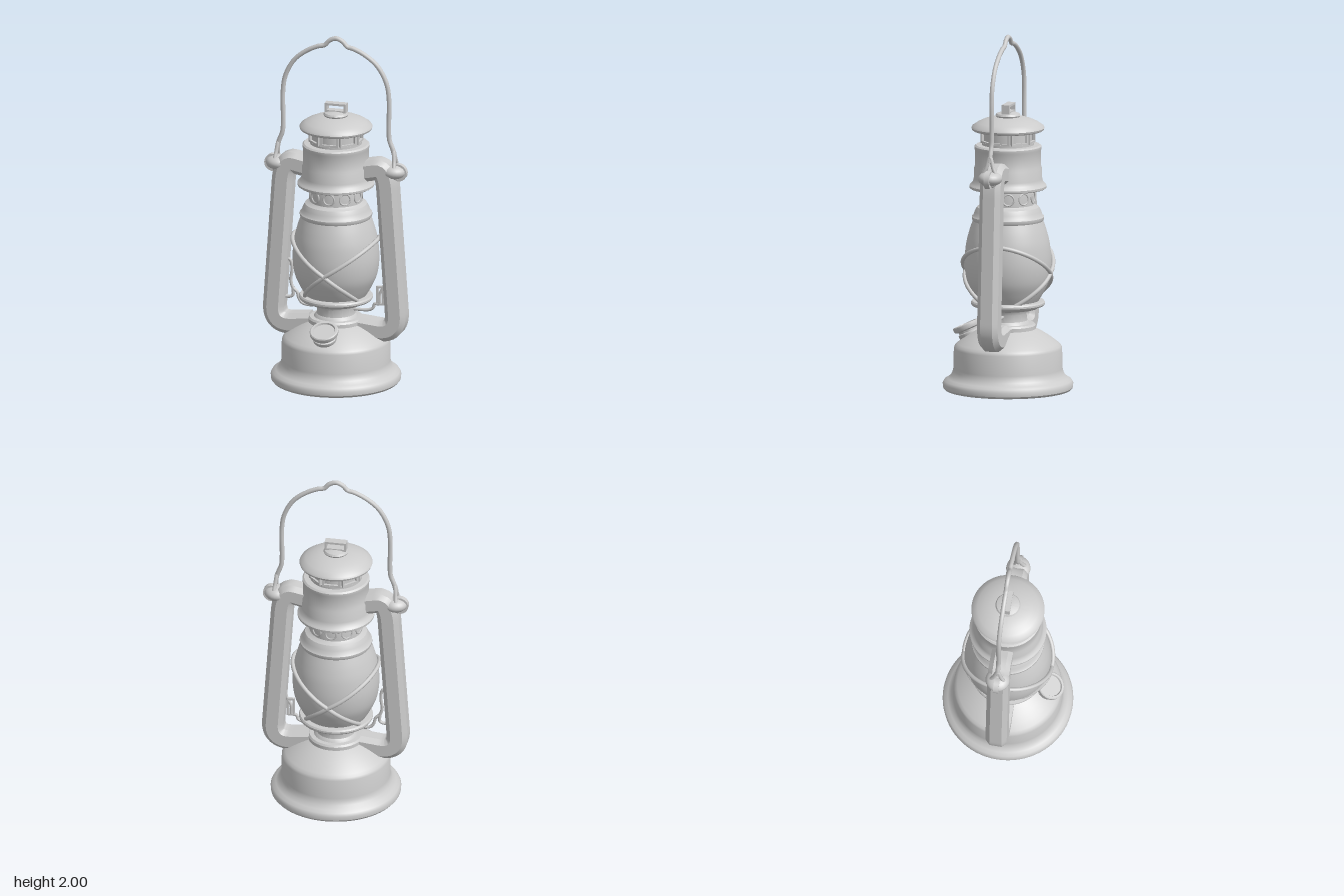
import * as THREE from 'three';
import { toCreasedNormals } from 'three/addons/utils/BufferGeometryUtils.js';

const metal = new THREE.MeshStandardMaterial({ color: 0xcccccc, side: THREE.DoubleSide });
const V = (x, y, z = 0) => new THREE.Vector3(x, y, z);

function add(parent, name, geo) {
  const mesh = new THREE.Mesh(geo, metal);
  mesh.name = name;
  parent.add(mesh);
  return mesh;
}

// Turned part from [radius, height] pairs, bottom to top
function turned(parent, name, profile, segments = 72, crease = 0.6) {
  const pts = profile.map(([r, y]) => new THREE.Vector2(r, y));
  return add(parent, name, toCreasedNormals(new THREE.LatheGeometry(pts, segments), crease));
}

// Round wire through points
function wire(parent, name, pts, radius, closed = false, steps = 60) {
  const curve = new THREE.CatmullRomCurve3(pts, closed, 'centripetal');
  return add(parent, name, new THREE.TubeGeometry(curve, steps, radius, 10, closed));
}

// Rectangular frame, centred on the origin
function frame(w, h, border, depth) {
  const rect = (Type, a, b) => new Type([[-a, -b], [a, -b], [a, b], [-a, b]].map(p => new THREE.Vector2(...p)));
  const shape = rect(THREE.Shape, w / 2, h / 2);
  shape.holes.push(rect(THREE.Path, w / 2 - border, h / 2 - border));
  const geo = new THREE.ExtrudeGeometry(shape, { depth, bevelEnabled: false });
  return geo.translate(0, 0, -depth / 2);
}

// Globe outline, also followed by the guard wires
const globeCurve = new THREE.SplineCurve([[0.165, 0.49], [0.2, 0.55], [0.23, 0.62], [0.242, 0.71],
  [0.235, 0.81], [0.217, 0.89], [0.192, 0.965]].map(p => new THREE.Vector2(...p)));
const globePts = globeCurve.getPoints(36);
function globeRadius(y) {
  const i = Math.max(1, globePts.findIndex(p => p.y >= y));
  const a = globePts[i - 1], b = globePts[i];
  return a.x + (b.x - a.x) * THREE.MathUtils.clamp((y - a.y) / (b.y - a.y), 0, 1);
}

export function createModel() {
  const lantern = new THREE.Group();
  lantern.name = 'lantern';

  // Fuel tank with flared foot and domed shoulder
  turned(lantern, 'tank', [[0, 0], [0.352, 0], [0.362, 0.012], [0.364, 0.035], [0.355, 0.052], [0.335, 0.064],
    [0.316, 0.082], [0.307, 0.105], [0.304, 0.12], [0.302, 0.232], [0.296, 0.247], [0.282, 0.26], [0.25, 0.285],
    [0.21, 0.312], [0.175, 0.332], [0.155, 0.342], [0.155, 0.362], [0.147, 0.372], [0.118, 0.374]]);

  // Burner and globe plate
  turned(lantern, 'burner', [[0.13, 0.35], [0.122, 0.376], [0.108, 0.39], [0.103, 0.43], [0.112, 0.448],
    [0.165, 0.458], [0.18, 0.472], [0.2, 0.474], [0.206, 0.482], [0.206, 0.492], [0.2, 0.5], [0.165, 0.502], [0, 0.502]]);

  turned(lantern, 'globe', globePts.map(p => [p.x, p.y]), 72, 1);

  // Globe collar and perforated gallery
  turned(lantern, 'globeCollar', [[0.18, 0.952], [0.196, 0.952], [0.202, 0.962], [0.202, 0.975], [0.192, 0.984],
    [0.186, 1.005], [0.172, 1.03], [0.155, 1.038], [0.147, 1.045], [0.147, 1.13], [0.14, 1.16], [0.13, 1.36]]);
  for (let i = 0; i < 10; i++) {
    const a = i / 10 * Math.PI * 2;
    const ring = add(lantern, 'galleryHoleRim', new THREE.TorusGeometry(0.031, 0.005, 6, 24));
    ring.position.set(0.146 * Math.sin(a), 1.088, 0.146 * Math.cos(a));
    ring.rotation.y = a;
  }

  // Chimney hood, open below
  turned(lantern, 'hood', [[0.14, 1.3], [0.172, 1.22], [0.178, 1.17], [0.205, 1.142], [0.208, 1.134], [0.214, 1.138],
    [0.215, 1.15], [0.208, 1.158], [0.198, 1.168], [0.191, 1.19], [0.189, 1.25], [0.184, 1.262], [0.184, 1.35],
    [0.187, 1.358], [0.187, 1.372], [0.178, 1.38], [0.14, 1.382]]);

  // Vent ring with framed windows
  turned(lantern, 'ventRing', [[0.146, 1.38], [0.146, 1.396], [0.133, 1.398], [0.133, 1.462], [0.146, 1.464], [0.146, 1.48]]);
  for (let i = 0; i < 8; i++) {
    const a = i / 8 * Math.PI * 2;
    const win = add(lantern, 'ventWindow', frame(0.105, 0.074, 0.012, 0.014));
    win.position.set(0.138 * Math.sin(a), 1.43, 0.138 * Math.cos(a));
    win.rotation.y = a;
  }

  // Domed cap with finger loop
  turned(lantern, 'cap', [[0, 1.485], [0.15, 1.482], [0.185, 1.472], [0.192, 1.46], [0.2, 1.465], [0.204, 1.476],
    [0.198, 1.487], [0.17, 1.506], [0.135, 1.522], [0.095, 1.534], [0.066, 1.538], [0.07, 1.546], [0.064, 1.556],
    [0.04, 1.564], [0, 1.568]]);
  add(lantern, 'capLoop', frame(0.122, 0.052, 0.012, 0.045)).position.set(0, 1.585, -0.003);

  // Filler cap, tilted forward on the shoulder
  const filler = new THREE.Group();
  filler.name = 'filler';
  turned(filler, 'fillerCap', [[0.062, -0.13], [0.062, -0.075], [0.066, -0.068], [0.066, -0.05], [0.058, -0.046], [0.06, -0.036],
    [0.076, -0.03], [0.08, -0.02], [0.08, -0.005], [0.075, 0], [0.064, 0], [0.06, -0.01], [0, -0.01]], 40);
  filler.position.set(0, 0.358, 0.246);
  filler.rotation.x = 0.43;
  lantern.add(filler);

  // Chamfered section shared by both side tubes
  const h = 0.06, c = 0.034;
  const section = new THREE.Shape([[h, -c], [h, c], [c, h], [-c, h], [-h, c], [-h, -c], [-c, -h], [c, -h]]
    .map(p => new THREE.Vector2(...p)));

  for (const s of [1, -1]) {
    const side = new THREE.Group();
    side.name = s > 0 ? 'leftSide' : 'rightSide';
    lantern.add(side);

    // Side tube: tank shoulder, up and into the hood
    const path = new THREE.CurvePath();
    const p = [[0.14, 0.325], [0.24, 0.315], [0.365, 0.3], [0.352, 0.43], [0.302, 1.15], [0.29, 1.27], [0.235, 1.25], [0.16, 1.235]]
      .map(([x, y]) => V(s * x, y));
    path.add(new THREE.LineCurve3(p[0], p[1]));
    path.add(new THREE.QuadraticBezierCurve3(p[1], p[2], p[3]));
    path.add(new THREE.LineCurve3(p[3], p[4]));
    path.add(new THREE.QuadraticBezierCurve3(p[4], p[5], p[6]));
    path.add(new THREE.LineCurve3(p[6], p[7]));
    const sweep = new THREE.CatmullRomCurve3(path.getSpacedPoints(50));
    add(side, 'sideTube', toCreasedNormals(
      new THREE.ExtrudeGeometry(section, { steps: 90, extrudePath: sweep, bevelEnabled: false }), 0.6));

    // Handle ear with a clip wrapped round the tube
    const ear = add(side, 'ear', new THREE.CylinderGeometry(0.05, 0.05, 0.03, 32));
    ear.rotation.x = Math.PI / 2;
    ear.position.set(s * 0.362, 1.237, 0);
    const boss = add(side, 'earClip', new THREE.SphereGeometry(1, 24, 16));
    boss.scale.set(0.07, 0.042, 0.068);
    boss.position.set(s * 0.335, 1.24, 0);

    // Looped end of the carrying handle
    wire(side, 'handleLoop', [V(s * 0.335, 1.36), V(s * 0.342, 1.3, 0.02), V(s * 0.348, 1.24, 0.042), V(s * 0.35, 1.205, 0.025),
      V(s * 0.35, 1.2, 0), V(s * 0.35, 1.205, -0.025), V(s * 0.348, 1.24, -0.042), V(s * 0.342, 1.3, -0.02)], 0.011, true);
  }

  // Carrying handle, kinked at the crown
  const half = [[0.338, 1.33], [0.33, 1.365], [0.31, 1.42], [0.306, 1.48], [0.307, 1.66], [0.292, 1.75],
    [0.24, 1.845], [0.165, 1.905], [0.1, 1.935], [0.066, 1.943], [0.038, 1.972]];
  wire(lantern, 'handle', [...half.map(([x, y]) => V(-x, y)), V(0, 1.987),
    ...half.slice().reverse().map(([x, y]) => V(x, y))], 0.013, false, 140);

  // Guard wires crossing at front and back of the globe
  const onGlobe = (a, y) => {
    const r = globeRadius(y) + 0.01;
    return V(r * Math.sin(a), y, r * Math.cos(a));
  };
  for (const s of [1, -1]) {
    const upper = [];
    for (let i = 0; i <= 24; i++) {
      const a = i / 24 * Math.PI;
      upper.push(onGlobe(s * a, 0.665 + 0.17 * Math.sin(a)));
    }
    wire(lantern, 'upperGuardWire', upper, 0.012);
    for (const back of [0, Math.PI]) {
      const lower = [];
      for (let i = 0; i <= 10; i++) {
        const t = i / 10;
        lower.push(onGlobe(back + s * t * 1.05, 0.665 - 0.172 * Math.sin(t * 1.05) / Math.sin(1.05)));
      }
      wire(lantern, 'lowerGuardWire', lower, 0.012);
    }
  }

  // Wick crank on the left, globe lifter on the right
  wire(lantern, 'wickCrank', [V(0.09, 0.42), V(0.19, 0.422), V(0.215, 0.435), V(0.225, 0.46), V(0.25, 0.462),
    V(0.255, 0.52), V(0.28, 0.57), V(0.295, 0.64), V(0.32, 0.655)], 0.009);
  add(lantern, 'crankGrip', frame(0.045, 0.11, 0.012, 0.016)).position.set(0.257, 0.51, 0);
  wire(lantern, 'globeLifter', [V(-0.09, 0.44), V(-0.14, 0.422), V(-0.195, 0.43), V(-0.215, 0.455), V(-0.225, 0.49),
    V(-0.25, 0.515), V(-0.262, 0.56), V(-0.255, 0.62), V(-0.265, 0.675), V(-0.3, 0.68)], 0.009);
  wire(lantern, 'lifterHook', [V(-0.25, 0.52), V(-0.25, 0.47), V(-0.275, 0.46), V(-0.31, 0.465)], 0.009, false, 24);

  return lantern;
}
